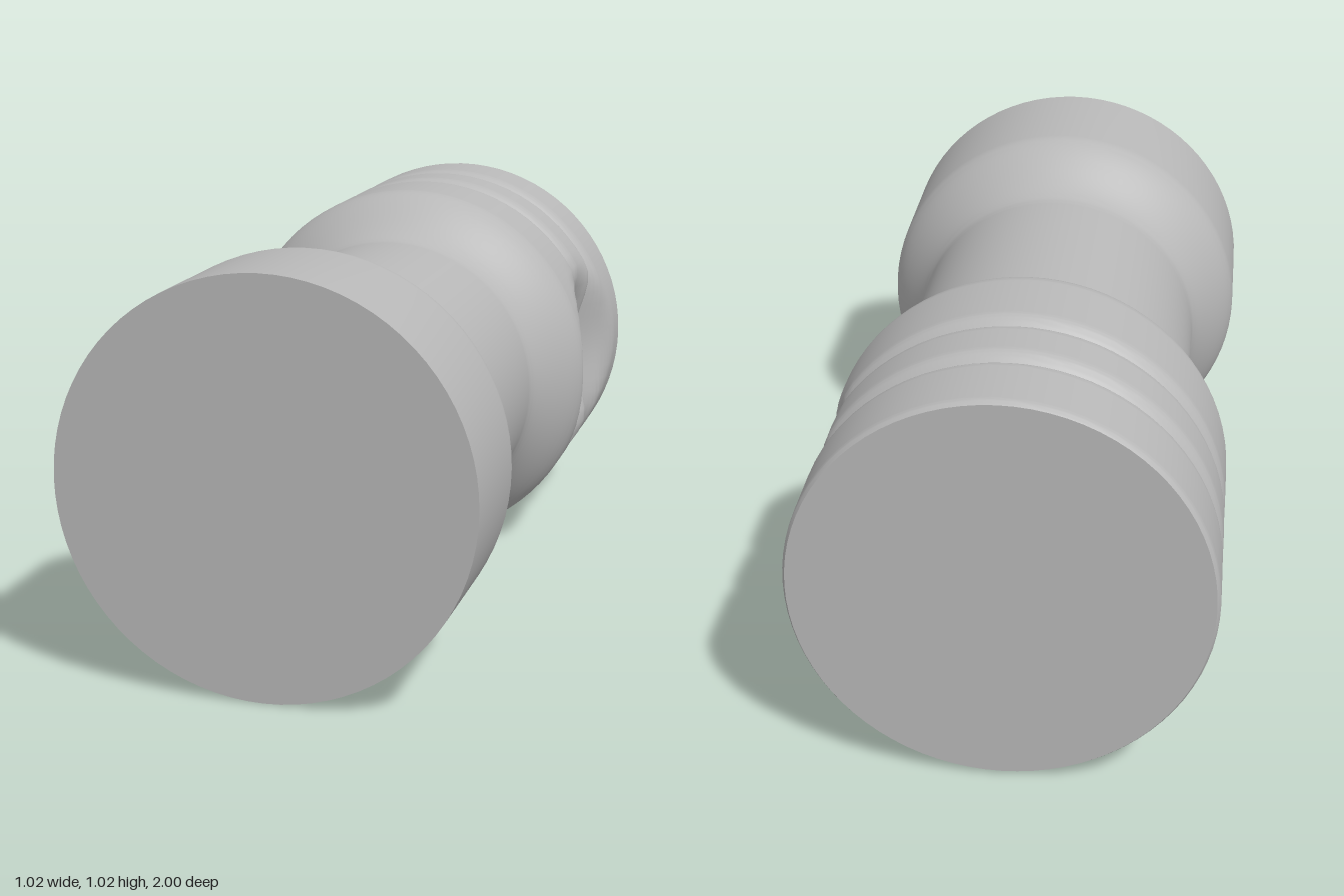
import * as THREE from 'three';
import { toCreasedNormals } from 'three/addons/utils/BufferGeometryUtils.js';

const R = 0.51;      // radius of the thick ends
const WAIST = 0.395; // radius of the narrow middle
const SIDES = 80;

// Radius along the axis: two smooth shoulders, two rounded-lip grooves and a softened back rim
function radiusAt(z) {
  const shoulder = THREE.MathUtils.smoothstep(z, 0.43, 0.66) + THREE.MathUtils.smoothstep(-z, 0.13, 0.36);
  let r = WAIST + (R - WAIST) * shoulder;
  for (const groove of [-0.585, -0.775]) {
    const u = Math.min(1, Math.abs(z - groove) / 0.045);
    r -= 0.027 * (1 - u) ** 2;
  }
  const rim = Math.max(0, (-0.98 - z) / 0.02);
  return r - 0.008 * rim ** 2;
}

// Push a round, soft dent into the left flank
function addDent(geometry) {
  const p = geometry.attributes.position;
  const reach = 0.285, depth = 0.165, centreZ = -0.62;
  for (let i = 0; i < p.count; i++) {
    const x = p.getX(i), y = p.getY(i), z = p.getZ(i);
    if (x <= 0) continue;
    const d2 = (y * y + (z - centreZ) ** 2) / (reach * reach);
    if (d2 < 1) p.setX(i, x - depth * (1 - d2) ** 2);
  }
}

export function createModel() {
  const group = new THREE.Group();
  group.name = 'dentedSpool';
  const grey = new THREE.MeshStandardMaterial({ color: 0xb8b8b8 });
  grey.name = 'plain grey';

  // Turned body, fine steps through the dented and grooved end
  const profile = [];
  for (let i = 0; i <= 180; i++) profile.push(-1 + i * 0.005);
  for (let i = 0; i <= 24; i++) profile.push(0.42 + i * 0.01);
  profile.push(1);
  let body = new THREE.LatheGeometry(profile.map((z) => new THREE.Vector2(radiusAt(z), z)), SIDES);
  body.rotateX(Math.PI / 2);
  addDent(body);
  body.deleteAttribute('uv');
  body = toCreasedNormals(body, 0.6);
  const bodyMesh = new THREE.Mesh(body, grey);
  bodyMesh.name = 'body';
  group.add(bodyMesh);

  // Flat end faces
  for (const [name, z, turn] of [['frontFace', 1, 0], ['backFace', -1, Math.PI]]) {
    const face = new THREE.Mesh(new THREE.CircleGeometry(radiusAt(z), SIDES), grey);
    face.name = name;
    face.position.z = z;
    face.rotation.y = turn;
    group.add(face);
  }

  group.position.y = R;
  const root = new THREE.Group();
  root.name = 'model';
  root.add(group);
  return root;
}
